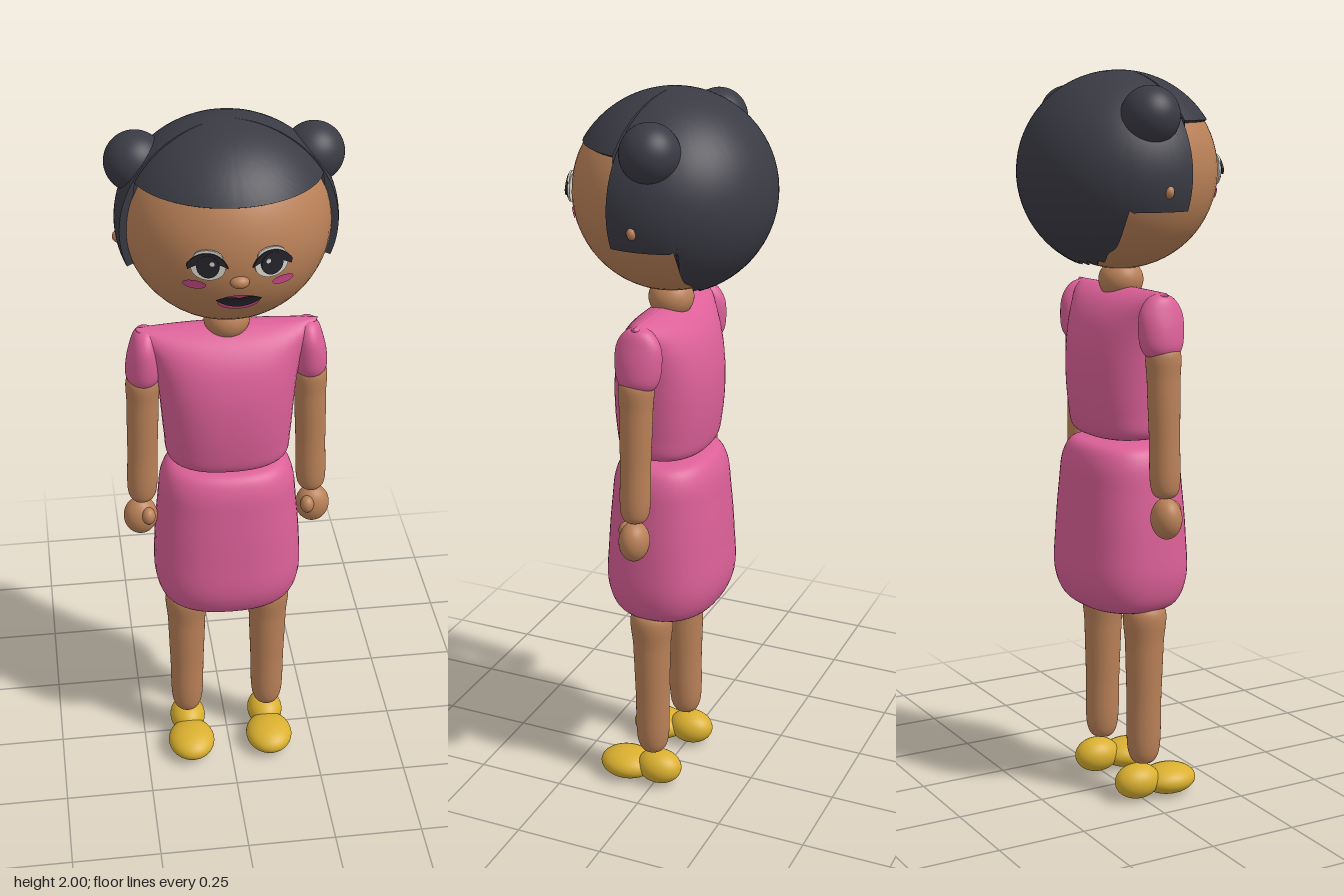
import * as THREE from 'three';
import { toCreasedNormals } from 'three/addons/utils/BufferGeometryUtils.js';

const mat = (name, color, side = THREE.FrontSide) => {
  const m = new THREE.MeshStandardMaterial({ color, side });
  m.name = name;
  return m;
};

// Closed-around surface: fn(angle, v) gives a point, v runs from bottom to top
function wrapSurface(fn, nu, nv) {
  const pos = [], index = [];
  for (let j = 0; j <= nv; j++)
    for (let i = 0; i < nu; i++) pos.push(...fn((i / nu) * Math.PI * 2, j / nv));
  for (let j = 0; j < nv; j++)
    for (let i = 0; i < nu; i++) {
      const a = j * nu + i, b = j * nu + ((i + 1) % nu), c = a + nu, d = b + nu;
      index.push(a, b, c, b, d, c);
    }
  const g = new THREE.BufferGeometry();
  g.setAttribute('position', new THREE.Float32BufferAttribute(pos, 3));
  g.setIndex(index);
  g.computeVertexNormals();
  return g;
}

// Soft body through rings [y, half width, half depth], with a centre line from bottom to top
function loft(rings, from = [0, 0], to = from, power = 2) {
  const curve = new THREE.CatmullRomCurve3(rings.map(([y, rx, rz]) => new THREE.Vector3(rx, y, rz)));
  const y0 = rings[0][0], y1 = rings[rings.length - 1][0];
  const bend = (t) => Math.sign(t) * Math.abs(t) ** (2 / power);
  return wrapSurface((a, v) => {
    const p = curve.getPoint(v), k = (p.y - y0) / (y1 - y0);
    return [
      THREE.MathUtils.lerp(from[0], to[0], k) + Math.max(p.x, 0) * bend(Math.cos(a)),
      p.y,
      THREE.MathUtils.lerp(from[1], to[1], k) - Math.max(p.z, 0) * bend(Math.sin(a)),
    ];
  }, 48, 48);
}

const HEAD = { y: 1.735, rx: 0.265, ry: 0.26, rz: 0.26 };
const HAIR = { y: 1.733, rx: 0.284, ry: 0.267, rz: 0.27 };

// Hair cap with a straight fringe, side locks and a ragged nape
function hairGeometry() {
  const deg = Math.PI / 180, rows = 30;
  const edgeHeight = (a) => {
    const front = Math.asin(-Math.sin(a)); // + towards the face, - towards the back
    if (front > 15 * deg) return 1.87;
    if (front > -23 * deg) return 1.64;
    const s = Math.min(1, 0.105 / (HAIR.rz * Math.sin(-front)));
    const y = HAIR.y - HAIR.ry * Math.sqrt(1 - s * s);
    return Math.max(1.497, Math.min(1.64, y)) + 0.006 * Math.sin(front * 26);
  };
  const g = wrapSurface((a, v) => {
    const max = Math.acos((edgeHeight(a) - HAIR.y) / HAIR.ry);
    const row = Math.round(v * rows);
    const t = row === 0 ? max : max * (1 - (row - 1) / (rows - 1));
    const k = row === 0 ? 0.91 : 1;
    return [
      k * HAIR.rx * Math.sin(t) * Math.cos(a),
      HAIR.y + k * HAIR.ry * Math.cos(t),
      -0.005 - k * HAIR.rz * Math.sin(t) * Math.sin(a),
    ];
  }, 180, rows);
  return toCreasedNormals(g, 0.7);
}

// Lay a flat shape on the face, slightly raised
function onFace(shape, lift) {
  const g = new THREE.ShapeGeometry(shape, 16), p = g.attributes.position;
  for (let i = 0; i < p.count; i++) {
    const x = p.getX(i) / HEAD.rx, y = (p.getY(i) - HEAD.y) / HEAD.ry;
    p.setZ(i, HEAD.rz * Math.sqrt(1 - x * x - y * y) + lift);
  }
  g.computeVertexNormals();
  return g;
}

const oval = (x, y, rx, ry) => new THREE.Shape().absellipse(x, y, rx, ry, 0, Math.PI * 2);
const smooth = (pts) => new THREE.Shape().splineThru(pts.slice(1).map((p) => new THREE.Vector2(...p)));

export function createModel() {
  const model = new THREE.Group();
  model.name = 'doll';
  const skin = mat('skin', 0xba8158);
  const hair = mat('hair', 0x3b3b45);
  const pink = mat('pink cloth', 0xdc6098);
  const gold = mat('yellow shoe', 0xdab02f);
  const dark = mat('dark makeup', 0x24242c, THREE.DoubleSide);
  const white = mat('eye white', 0xd8d4cc, THREE.DoubleSide);
  const blush = mat('blush', 0xcf4d8d, THREE.DoubleSide);

  const add = (name, geo, material, parent = model) => {
    const m = new THREE.Mesh(geo, material);
    m.name = name;
    parent.add(m);
    return m;
  };
  const ball = (name, material, c, r, parent) => {
    const m = add(name, new THREE.SphereGeometry(1, 48, 32), material, parent);
    m.position.set(...c);
    m.scale.set(...r);
    return m;
  };

  // Head and hair
  ball('head', skin, [0, HEAD.y, 0], [HEAD.rx, HEAD.ry, HEAD.rz]);
  add('hair', hairGeometry(), hair);
  ball('nose', skin, [0, 1.686, 0.253], [0.024, 0.017, 0.02]);
  ball('neck', skin, [0, 1.445, 0.003], [0.061, 0.056, 0.061]);

  // Mouth
  const lips = new THREE.Shape();
  lips.moveTo(-0.058, 1.632);
  lips.quadraticCurveTo(-0.03, 1.652, 0, 1.64);
  lips.quadraticCurveTo(0.03, 1.652, 0.058, 1.632);
  lips.quadraticCurveTo(0, 1.585, -0.058, 1.632);
  add('lips', onFace(lips, 0.01), dark);
  add('lipEdge', onFace(oval(0, 1.622, 0.052, 0.026), 0.006), blush);

  // Clothes
  add('top', loft([
    [1.02, 0, 0], [1.022, 0.12, 0.09], [1.04, 0.163, 0.118], [1.1, 0.172, 0.13], [1.2, 0.18, 0.135],
    [1.28, 0.188, 0.127], [1.35, 0.202, 0.105], [1.4, 0.225, 0.068], [1.425, 0.24, 0.025], [1.43, 0.24, 0],
  ], [0, 0.007], [0, 0.004], 2.4), pink);
  add('skirt', loft([
    [0.538, 0, 0], [0.542, 0.12, 0.09], [0.565, 0.18, 0.137], [0.63, 0.204, 0.163], [0.75, 0.203, 0.16],
    [0.88, 0.192, 0.15], [0.96, 0.182, 0.14], [1.0, 0.16, 0.12], [1.013, 0.11, 0.08], [1.015, 0, 0],
  ], [0, 0], [0, 0], 2.4), pink);

  for (const s of [1, -1]) {
    const side = new THREE.Group();
    side.name = s > 0 ? 'leftSide' : 'rightSide';
    model.add(side);

    ball('hairBun', hair, [s * 0.225, 1.883, -0.037], [0.078, 0.077, 0.077], side);
    ball('ear', skin, [s * 0.272, 1.692, -0.01], [0.018, 0.018, 0.014], side);

    // Eye: stacked thin plates turned to follow the face
    const eye = new THREE.Group();
    eye.name = 'eye';
    eye.position.set(s * 0.076, 1.732, 0.25);
    eye.rotation.y = s * 0.25;
    eye.scale.x = s;
    side.add(eye);
    const plate = (name, shape, z, material) => {
      const geo = new THREE.ExtrudeGeometry(shape, { depth: 0.005, bevelEnabled: false, curveSegments: 20 });
      geo.translate(0, 0, z);
      add(name, geo, material, eye);
    };
    plate('eyeWhite', oval(0, 0, 0.043, 0.036), 0, white);
    plate('browLine', oval(0, 0.024, 0.036, 0.021), 0.001, white);
    const lid = new THREE.Shape();
    lid.moveTo(-0.05, 0.0);
    lid.quadraticCurveTo(-0.035, 0.038, 0, 0.038);
    lid.quadraticCurveTo(0.03, 0.038, 0.053, 0.008);
    lid.lineTo(0.05, -0.006);
    lid.quadraticCurveTo(0, 0.028, -0.05, 0.0);
    plate('eyelid', lid, 0.005, dark);
    plate('iris', oval(0, 0.003, 0.028, 0.03), 0.006, dark);
    plate('eyeGlint', oval(-0.011, 0.012, 0.006, 0.006), 0.0075, white);

    add('cheek', onFace(oval(s * 0.109, 1.676, 0.028, 0.013), 0.004), blush, side);

    // Arm
    add('sleeve', loft([
      [1.26, 0, 0], [1.264, 0.032, 0.042], [1.285, 0.046, 0.057], [1.33, 0.047, 0.064],
      [1.38, 0.038, 0.06], [1.415, 0.026, 0.036], [1.43, 0, 0],
    ], [s * 0.224, 0], [s * 0.215, 0]), pink, side);
    add('arm', loft([
      [0.885, 0, 0], [0.89, 0.026, 0.027], [0.91, 0.038, 0.038], [1.05, 0.041, 0.041],
      [1.2, 0.043, 0.045], [1.28, 0.042, 0.044], [1.3, 0, 0],
    ], [s * 0.236, 0.006], [s * 0.224, 0.004]), skin, side);
    ball('hand', skin, [s * 0.242, 0.83, 0.006], [0.047, 0.056, 0.041], side);
    ball('thumb', skin, [s * 0.222, 0.847, 0.038], [0.019, 0.025, 0.022], side);

    // Leg and shoe
    add('leg', loft([
      [0.107, 0, 0], [0.112, 0.028, 0.028], [0.14, 0.042, 0.043], [0.3, 0.049, 0.048],
      [0.45, 0.054, 0.053], [0.55, 0.056, 0.056], [0.58, 0, 0],
    ], [s * 0.12, 0.008], [s * 0.118, 0.012]), skin, side);
    ball('shoeHeel', gold, [s * 0.118, 0.054, -0.01], [0.052, 0.049, 0.066], side);
    ball('shoeToe', gold, [s * 0.117, 0.044, 0.09], [0.068, 0.041, 0.08], side);
  }
  return model;
}
